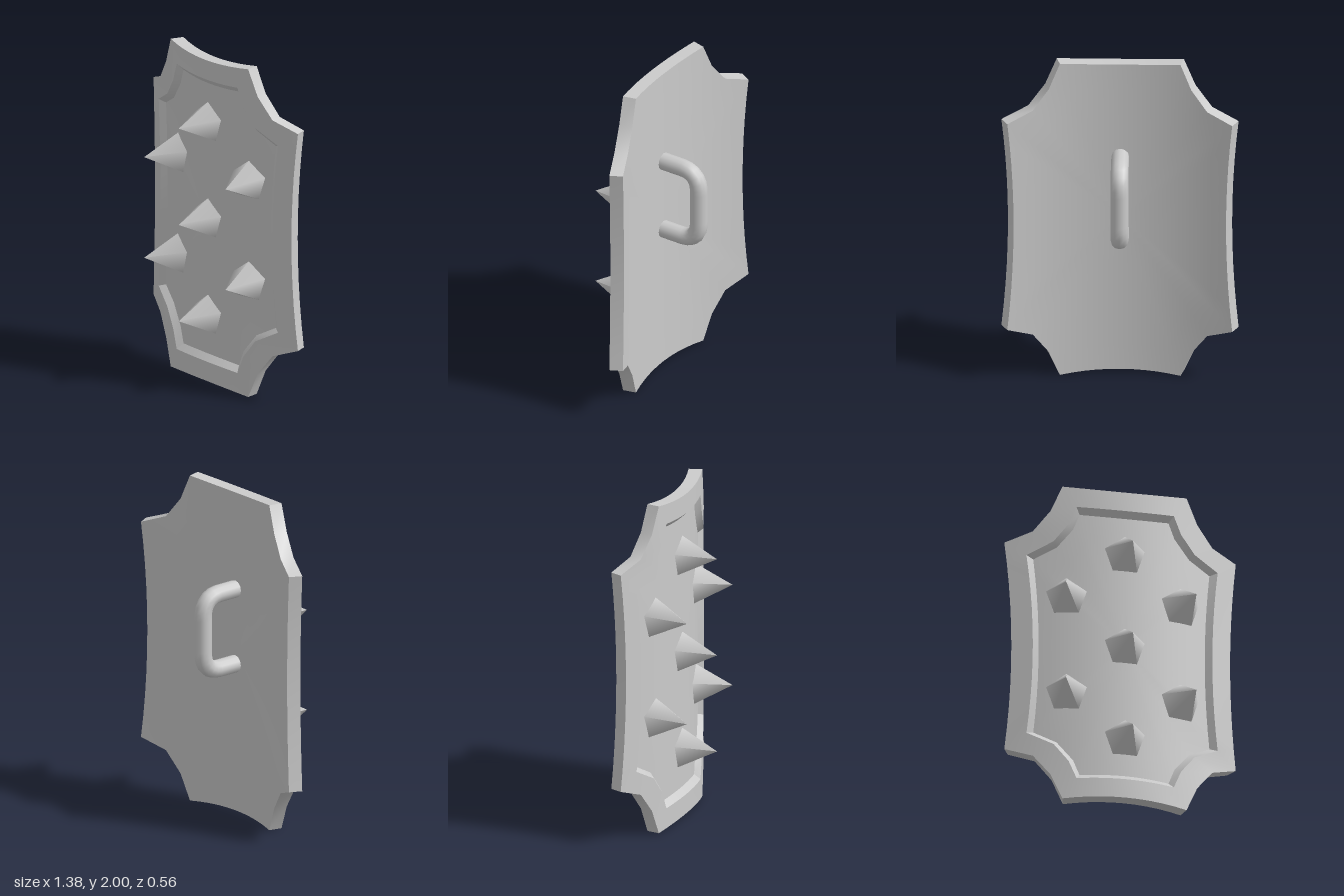
import * as THREE from 'three';
import { toCreasedNormals } from 'three/addons/utils/BufferGeometryUtils.js';

const AXIS_Z = -1.425;                          // axis of the cylinder the plate is bent around
const R_RIM = 1.525, R_FLOOR = 1.49, R_BACK = 1.445;
const grey = () => new THREE.MeshStandardMaterial({ color: 0xcccccc });

// Closed outline as [angle, y - 1], counterclockwise from the front.
// corner: points from the side corner over the notch to the top corner.
function outline(sideX, corner, topY, radius) {
  const N = 5, q = [];
  const [bx, by] = corner[0], [ax, ay] = corner[corner.length - 1];
  for (let i = 0; i < N; i++) {
    const t = i / N;
    q.push([sideX + (bx - sideX) * t * t, (by - 1) * t]);
  }
  corner.forEach(([x, y]) => q.push([x, y - 1]));
  for (let i = N - 1; i >= 0; i--) {
    const t = i / N;
    q.push([ax * t, topY + (ay - topY) * t * t - 1]);
  }
  const mirror = (sx, sy) => q.map(([x, y]) => [x * sx, y * sy]);
  const all = [
    ...q,
    ...mirror(-1, 1).reverse().slice(1),
    ...mirror(-1, -1).slice(1),
    ...mirror(1, -1).reverse().slice(1, -1),
  ];
  return all.map(([x, y]) => [Math.asin(x / radius), y]);
}

// Skin over rings { line, r, s }: an outline scaled by s on a cylinder of radius r
function loftRings(rings) {
  const n = rings[0].line.length, pos = [], index = [];
  rings.forEach(({ line, r, s }) => line.forEach(([a, y]) =>
    pos.push(r * Math.sin(a * s), 1 + y * s, AXIS_Z + r * Math.cos(a * s))));
  for (let i = 0; i < rings.length - 1; i++) {
    for (let j = 0; j < n; j++) {
      const k = (j + 1) % n;
      const a = i * n + j, b = i * n + k, c = a + n, d = b + n;
      if (rings[i].s > 0) index.push(a, b, c);
      if (rings[i + 1].s > 0) index.push(b, d, c);
    }
  }
  const g = new THREE.BufferGeometry();
  g.setAttribute('position', new THREE.Float32BufferAttribute(pos, 3));
  g.setIndex(index);
  return toCreasedNormals(g, 0.6);
}

function makePlate() {
  const outer = outline(0.652, [[0.69, 1.662], [0.535, 1.72], [0.437, 1.845], [0.37, 2]], 1.978, R_RIM);
  const rim = outline(0.535, [[0.57, 1.57], [0.42, 1.65], [0.335, 1.76], [0.29, 1.87]], 1.86, R_RIM);
  const floor = outline(0.495, [[0.525, 1.555], [0.395, 1.625], [0.302, 1.74], [0.265, 1.835]], 1.825, R_FLOOR);
  const rings = [], steps = 6;
  for (let i = 0; i <= steps; i++) rings.push({ line: outer, r: R_BACK, s: i / steps });
  rings.push({ line: outer, r: R_RIM, s: 1 }, { line: rim, r: R_RIM, s: 1 });
  for (let i = steps; i >= 0; i--) rings.push({ line: floor, r: R_FLOOR, s: i / steps });
  const mesh = new THREE.Mesh(loftRings(rings), grey());
  mesh.name = 'shieldPlate';
  return mesh;
}

// Five-sided spikes standing square to the curved front
function makeSpikes() {
  const group = new THREE.Group();
  group.name = 'spikes';
  const height = 0.23, sink = 0.015;
  const cone = new THREE.ConeGeometry(0.13, height, 5);
  cone.rotateX(Math.PI / 2).rotateZ(Math.PI);
  cone.translate(0, 0, R_FLOOR - sink + height / 2);
  const spots = [[0, 1.588], [0, 1], [0, 0.412]];
  for (const side of [-1, 1]) spots.push([side * 0.23, 1.307], [side * 0.23, 0.693]);
  for (const [angle, y] of spots) {
    const spike = new THREE.Mesh(cone, grey());
    spike.name = 'spike';
    spike.position.set(0, y, AXIS_Z);
    spike.rotation.y = angle;
    group.add(spike);
  }
  return group;
}

// Bent bar grip on the back
function makeHandle() {
  const p = (y, z) => new THREE.Vector3(0, y, z);
  const path = new THREE.CurvePath();
  path.add(new THREE.LineCurve3(p(1.385, 0.04), p(1.385, -0.11)));
  path.add(new THREE.QuadraticBezierCurve3(p(1.385, -0.11), p(1.385, -0.228), p(1.26, -0.228)));
  path.add(new THREE.LineCurve3(p(1.26, -0.228), p(1.05, -0.228)));
  path.add(new THREE.QuadraticBezierCurve3(p(1.05, -0.228), p(0.925, -0.228), p(0.925, -0.11)));
  path.add(new THREE.LineCurve3(p(0.925, -0.11), p(0.925, 0.04)));
  const mesh = new THREE.Mesh(new THREE.TubeGeometry(path, 28, 0.052, 12), grey());
  mesh.name = 'handle';
  return mesh;
}

export function createModel() {
  const model = new THREE.Group();
  model.name = 'spikedShield';
  model.add(makePlate(), makeSpikes(), makeHandle());
  return model;
}
